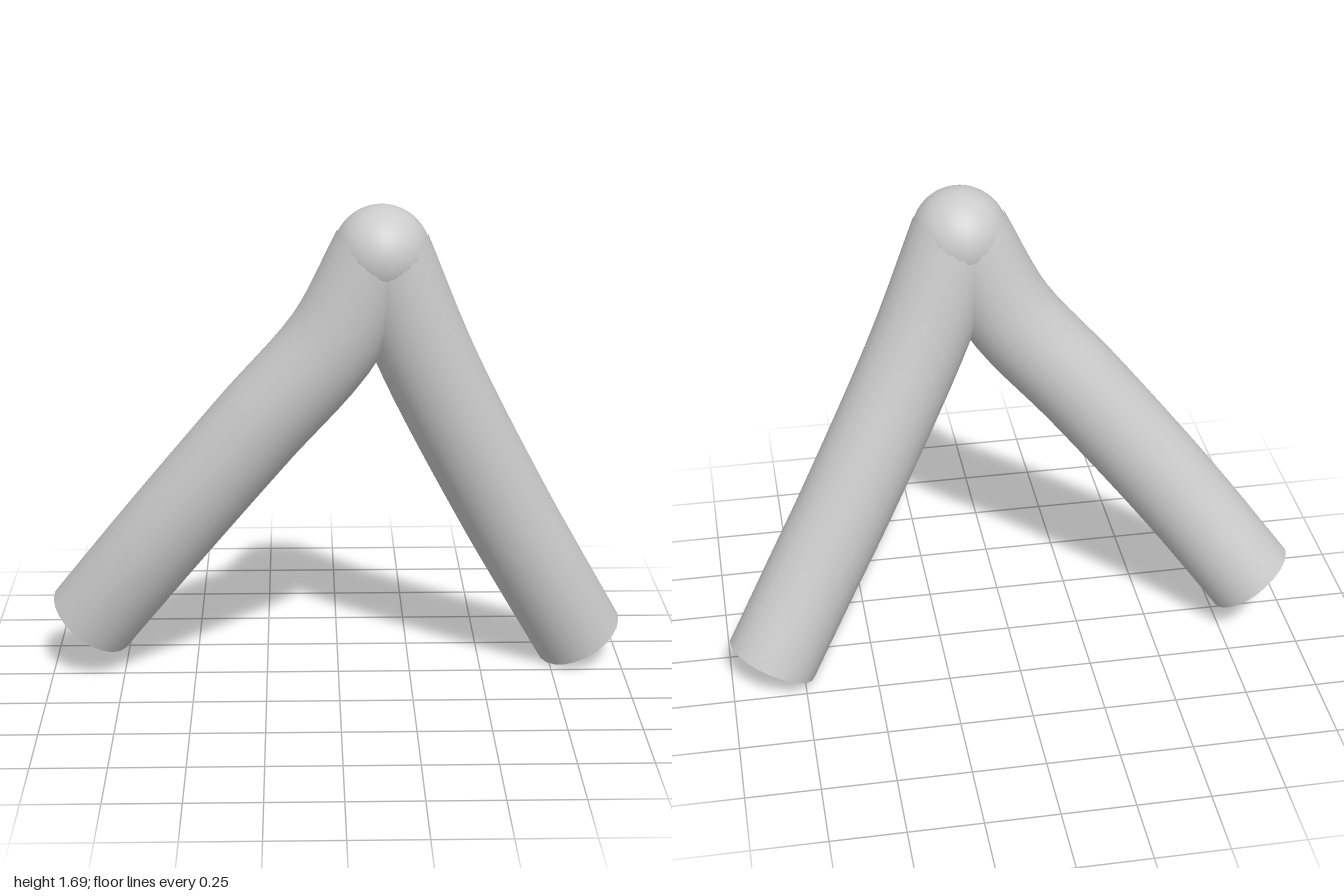
import * as THREE from 'three';

const RADIUS = 0.16;

export function createModel() {
  const model = new THREE.Group();
  const material = new THREE.MeshStandardMaterial({ color: 0xcccccc });

  const add = (parent, name, geometry) => {
    const mesh = new THREE.Mesh(geometry, material);
    mesh.name = name;
    parent.add(mesh);
    return mesh;
  };

  // A curved round leg running from the joint down to a flat cut end
  const addLeg = (name, points) => {
    const leg = new THREE.Group();
    leg.name = name;
    const path = new THREE.CatmullRomCurve3(points.map(p => new THREE.Vector3(...p)));
    add(leg, name + 'Limb', new THREE.TubeGeometry(path, 24, RADIUS, 24));
    const end = add(leg, name + 'End', new THREE.CircleGeometry(RADIUS, 24));
    end.position.copy(path.getPointAt(1));
    end.quaternion.setFromUnitVectors(new THREE.Vector3(0, 0, 1), path.getTangentAt(1));
    model.add(leg);
  };

  addLeg('leftLeg', [
    [0.14, 1.53, 0.135], [0.305, 1.13, 0.08], [0.57, 0.6, -0.02],
    [0.7, 0.36, -0.07], [0.857, 0.075, -0.14],
  ]);
  addLeg('rightLeg', [
    [0.135, 1.53, 0.135], [-0.02, 1.23, 0.12], [-0.28, 0.92, 0.085],
    [-0.61, 0.51, 0.015], [-0.865, 0.175, -0.075],
  ]);

  // Rounded joint where the legs meet
  const joint = add(model, 'topJoint', new THREE.SphereGeometry(1, 32, 20));
  joint.scale.set(0.16, 0.16, 0.166);
  joint.position.set(0.138, 1.525, 0.135);

  return model;
}
